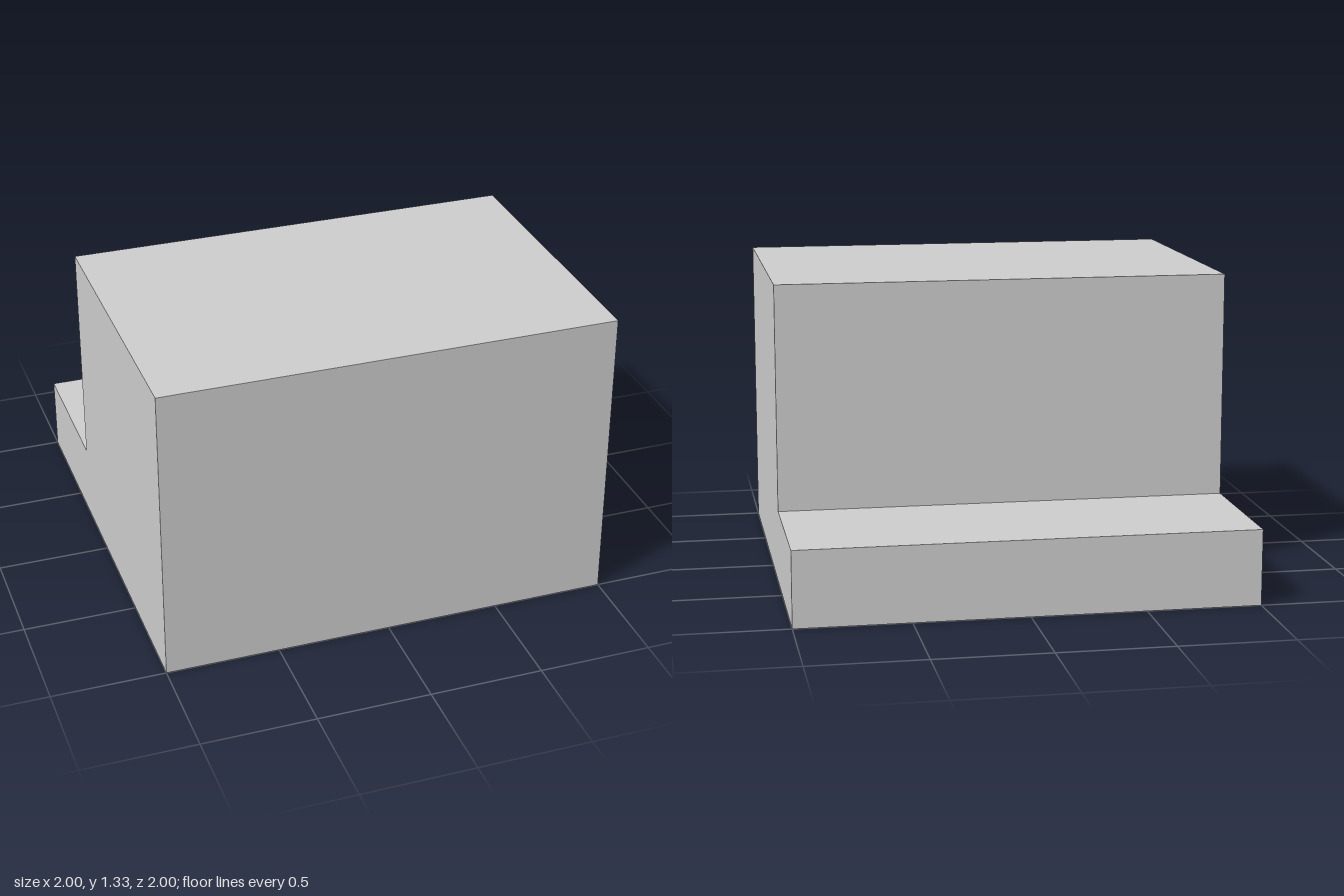
import * as THREE from 'three';

export function createModel() {
  const group = new THREE.Group();
  group.name = 'steppedBlock';

  const width = 2, height = 4 / 3, stepHeight = 1 / 3;
  const front = 1, back = -1, riser = -1 / 3;

  // L-shaped side profile: horizontal axis is depth (z), vertical is height
  const profile = new THREE.Shape([
    [back, 0], [front, 0], [front, height],
    [riser, height], [riser, stepHeight], [back, stepHeight],
  ].map(([z, y]) => new THREE.Vector2(z, y)));

  // Extrude across the width, then turn so the profile lies in the z-y plane
  const geometry = new THREE.ExtrudeGeometry(profile, { depth: width, bevelEnabled: false });
  geometry.translate(0, 0, -width / 2);
  geometry.rotateY(-Math.PI / 2);

  const block = new THREE.Mesh(
    geometry,
    new THREE.MeshStandardMaterial({ color: 0xcccccc, flatShading: true }),
  );
  block.name = 'blockWithRearStep';
  group.add(block);
  return group;
}
